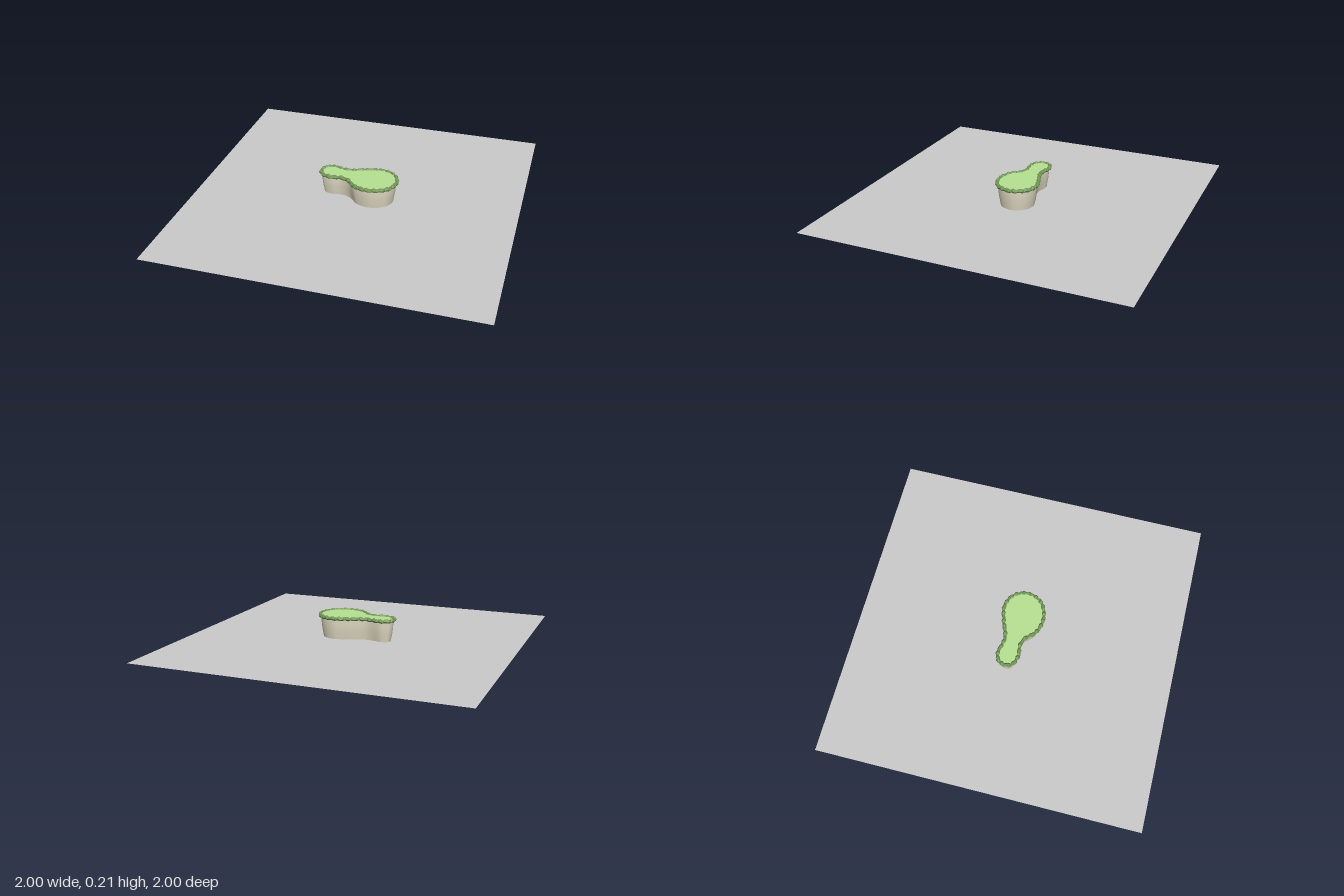
import * as THREE from 'three';

const STEPS = 180;

// Plan outline of the plateau lip, as [x, z]
const OUTLINE = [
  [-0.25, -0.01], [-0.235, -0.06], [-0.18, -0.084], [-0.075, -0.066], [0.03, -0.1],
  [0.13, -0.121], [0.215, -0.085], [0.255, 0], [0.225, 0.095], [0.145, 0.143],
  [0.075, 0.148], [0.0, 0.122], [-0.055, 0.067], [-0.1, 0.051], [-0.165, 0.058], [-0.23, 0.035],
];
const curve = new THREE.CatmullRomCurve3(
  OUTLINE.map(([x, z]) => new THREE.Vector3(x, 0, z)), true);

// One ring following the outline, moved inwards by inset(t) at height y(t)
function ring(inset, y) {
  const points = [];
  for (let i = 0; i < STEPS; i++) {
    const t = i / STEPS;
    const p = curve.getPointAt(t);
    const d = curve.getTangentAt(t);
    points.push(new THREE.Vector3(p.x - d.z * inset(t), y(t), p.z + d.x * inset(t)));
  }
  return points;
}

// Surface through a stack of rings, facing outwards
function loft(rings) {
  const index = [];
  for (let j = 0; j < rings.length - 1; j++) {
    for (let i = 0; i < STEPS; i++) {
      const a = j * STEPS + i;
      const b = j * STEPS + (i + 1) % STEPS;
      index.push(a, a + STEPS, b, b, a + STEPS, b + STEPS);
    }
  }
  const geometry = new THREE.BufferGeometry().setFromPoints(rings.flat());
  geometry.setIndex(index);
  geometry.computeVertexNormals();
  return geometry;
}

// Flat cover inside a ring, facing up or down
function cover(points, up) {
  const sign = up ? -1 : 1;
  const shape = new THREE.Shape(points.map((p) => new THREE.Vector2(p.x, sign * p.z)));
  const geometry = new THREE.ShapeGeometry(shape);
  geometry.rotateX(sign * Math.PI / 2);
  geometry.translate(0, points[0].y, 0);
  return geometry;
}

export function createModel() {
  const group = new THREE.Group();
  const add = (name, geometry, material) => {
    const mesh = new THREE.Mesh(geometry, material);
    mesh.name = name;
    group.add(mesh);
  };
  const stone = new THREE.MeshStandardMaterial({ color: 0xe0dac2 });
  const grass = new THREE.MeshStandardMaterial({ color: 0xb8e292 });
  const turf = new THREE.MeshStandardMaterial({
    color: 0x719555, flatShading: true, side: THREE.DoubleSide });
  const grey = new THREE.MeshStandardMaterial({ color: 0xcccccc, side: THREE.DoubleSide });

  // Ground sheet cutting through the foot of the rock
  const sheet = new THREE.PlaneGeometry(2, 2).rotateX(-Math.PI / 2).translate(0, 0.063, 0);
  add('groundSheet', sheet, grey);

  // Rock wall, flaring towards the top
  const wall = [[0.036, 0], [0.031, 0.04], [0.025, 0.08], [0.018, 0.12], [0.014, 0.16], [0.013, 0.2]]
    .map(([inset, y]) => ring(() => inset, () => y));
  add('rockWall', loft(wall), stone);
  add('rockBase', cover(wall[0], false), stone);

  // Grass top
  add('grassTop', cover(ring(() => 0.014, () => 0.202), true), grass);

  // Ragged turf lip: [inset, height, raggedness]
  const wave = (t, k) => Math.sin(t * Math.PI * 2 * 29 + k) * 0.6
    + Math.sin(t * Math.PI * 2 * 47 + 2 * k) * 0.4;
  const lip = [
    [0.016, 0.19, 0.001], [0.002, 0.188, 0.003], [-0.003, 0.197, 0.004],
    [0.003, 0.208, 0.004], [0.012, 0.209, 0.004], [0.02, 0.201, 0.002],
  ].map(([inset, y, rough], k) =>
    ring((t) => inset + rough * wave(t, k * 0.7), (t) => y + rough * wave(t, 2 + k * 0.4)));
  add('turfLip', loft(lip), turf);

  return group;
}
